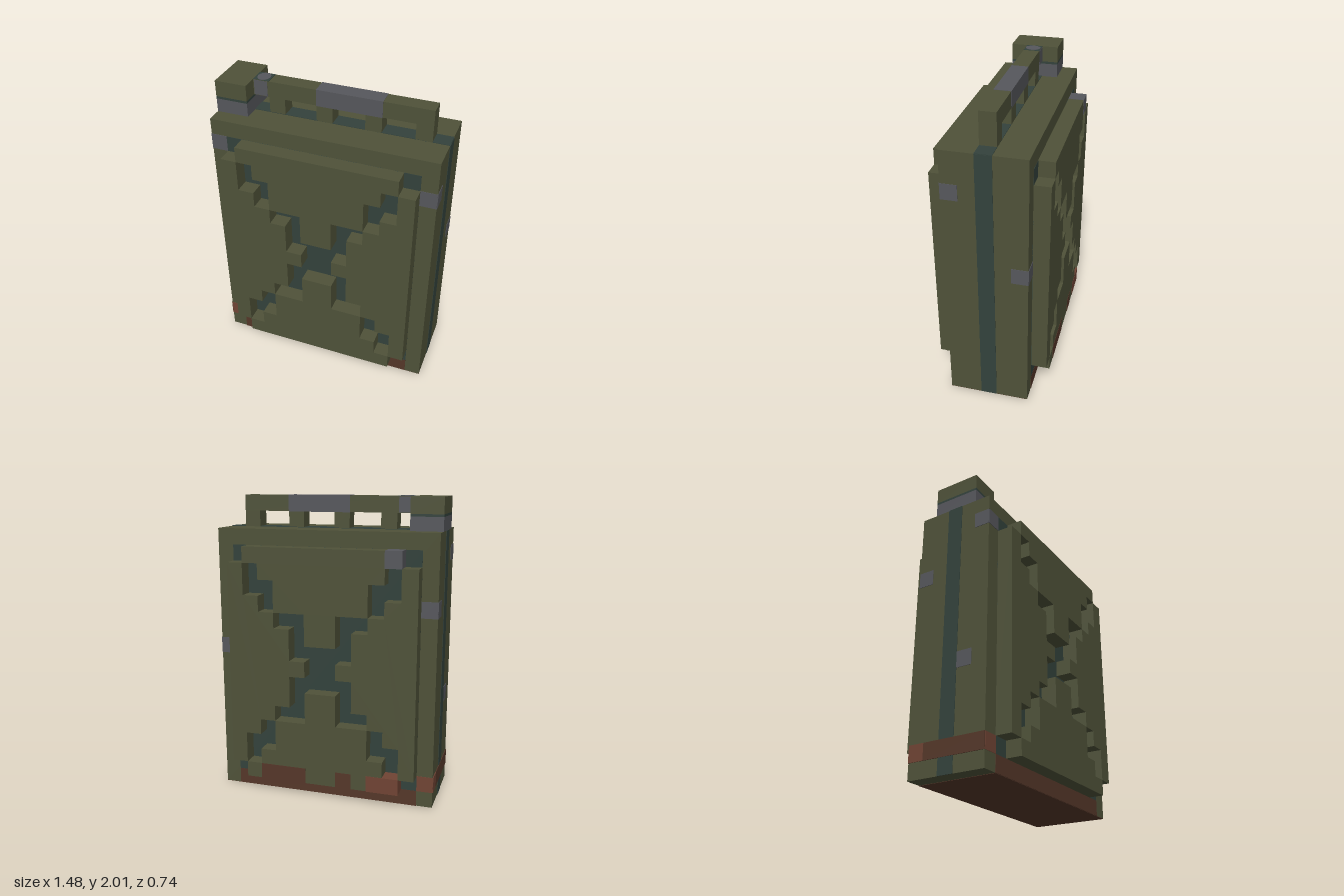
import * as THREE from 'three';

const U = 2 / 19; // one block of the model's grid

export function createModel() {
  const model = new THREE.Group();
  model.name = 'fuelCan';

  const paint = (name, color) => {
    const m = new THREE.MeshStandardMaterial({ color });
    m.name = name;
    return m;
  };
  const olive = paint('olive', 0x4f5239);
  const teal = paint('darkTeal', 0x33423c);
  const steel = paint('wornSteel', 0x56575c);
  const rust = paint('rust', 0x553729);
  const brightRust = paint('brightRust', 0x704434);

  // Box between grid corners, optionally grown by a small skin so it sits proud as paint
  const block = (name, mat, [x0, x1], [y0, y1], [z0, z1], skin = 0) => {
    const s = 2 * skin;
    const geo = new THREE.BoxGeometry((x1 - x0) * U + s, (y1 - y0) * U + s, (z1 - z0) * U + s);
    const mesh = new THREE.Mesh(geo, mat);
    mesh.name = name;
    mesh.position.set((x0 + x1) / 2 * U, (y0 + y1) / 2 * U, (z0 + z1) / 2 * U);
    model.add(mesh);
    return mesh;
  };
  // Thin painted patches on the body's faces; h is the height above the face
  const onZ = (name, mat, side, x, y, h = 0.003) => {
    const m = block(name, mat, x, y, [0, h / U]);
    m.position.z = side * (2.5 * U + h / 2);
  };
  const onX = (name, mat, side, z, y, h = 0.003) => {
    const m = block(name, mat, [0, h / U], y, z);
    m.position.x = side * (7 * U + h / 2);
  };

  // Body
  block('body', olive, [-7, 7], [0, 17], [-2.5, 2.5]);

  // Stepped panels around a cross-shaped recess
  const topHalf = [[5, 16], [5, 15], [4, 15], [4, 14], [3, 14], [3, 12], [1, 12], [1, 10]];
  const sideHalf = [[6, 15], [5, 15], [5, 13], [4, 13], [4, 12], [3, 12], [3, 11], [2, 11], [2, 9], [1, 9]];
  const flipX = ([x, y]) => [-x, y];
  const flipY = ([x, y]) => [x, 17 - y];
  const top = [...topHalf, ...topHalf.map(flipX).reverse()];
  const side = [...sideHalf, ...sideHalf.map(flipY).reverse()];
  const panels = { upperPanel: top, lowerPanel: top.map(flipY), leftPanel: side, rightPanel: side.map(flipX) };
  for (const face of [1, -1]) {
    const where = face > 0 ? 'front' : 'back';
    for (const [name, pts] of Object.entries(panels)) {
      const shape = new THREE.Shape(pts.map(([x, y]) => new THREE.Vector2(x * U, y * U)));
      const geo = new THREE.ExtrudeGeometry(shape, { depth: U, bevelEnabled: false });
      const mesh = new THREE.Mesh(geo, olive);
      mesh.name = where + name[0].toUpperCase() + name.slice(1);
      mesh.position.z = face > 0 ? 2.5 * U : -3.5 * U;
      model.add(mesh);
    }
    onZ(where + 'RecessFloor', teal, face, [-6, 6], [1, 16], 0.002);
    onZ(where + 'RustStrip', rust, face, [-6, 6], [0, 1]);
    onZ(where + 'RustCorner', brightRust, face, [-7, -6], [1, 2]);
  }

  // Seams running over the sides and top
  onX('leftSeam', teal, 1, [-0.5, 0.5], [0, 17]);
  onX('rightSeam', teal, -1, [-0.5, 0.5], [0, 17]);
  block('topSeam', teal, [-5, 7], [17, 17.03], [-0.5, 0.5]);

  // Rust on the base, the right side and the back panel
  block('baseRust', rust, [-6, 7], [-0.02, 0], [-2.5, 2.5]);
  onX('sideRustBand', rust, -1, [-1.5, 2.5], [1, 2], 0.005);
  onX('sideRustCorner', brightRust, -1, [-2.5, -1.5], [1, 2], 0.005);
  block('panelRustCorner', brightRust, [-5, -3], [1, 2], [-3.5, -2.5], 0.002);
  block('panelRustSpot', rust, [-2, -1], [1, 2], [-3.52, -3.48]);
  block('panelRustPatch', rust, [1, 4], [1, 2], [-3.52, -3.48]);

  // Chipped steel marks
  onZ('frontChipRight', steel, 1, [-7, -6], [15, 16]);
  onZ('frontChipLeft', steel, 1, [6, 7], [14, 15]);
  onZ('backChipRight', steel, -1, [-7, -6], [12, 13]);
  onZ('backChipLeft', steel, -1, [6, 7], [9, 10]);
  onX('leftChipUpper', steel, 1, [1.5, 2.5], [14, 15]);
  onX('leftChipLower', steel, 1, [-2.5, -1.5], [9, 10]);
  onX('rightChipUpper', steel, -1, [1.5, 2.5], [15, 16]);
  onX('rightChipMiddle', steel, -1, [-2.5, -1.5], [12, 13]);
  onX('rightChipLower', steel, -1, [0.5, 1.5], [6, 7]);
  block('panelChip', steel, [-5, -4], [15, 16], [-3.5, -2.5], 0.002);

  // Filler cap
  block('capNeck', steel, [-7, -5], [17, 17.85], [-1.5, 1.5]);
  block('capGap', teal, [-7, -5], [17.85, 18], [-1.5, 1.5]);
  block('cap', olive, [-7, -5], [18, 19], [-1.5, 1.5]);

  // Carrying handle with four posts
  block('handleBar', olive, [-5, 6], [18, 19], [-0.5, 0.5]);
  for (const x of [-4, -1, 2, 5]) block('handlePost', olive, [x, x + 1], [17, 18], [-0.5, 0.5]);
  block('handleWear', steel, [-1, 3], [18, 19], [-0.5, 0.5], 0.002);

  // Worn latch between handle and cap
  block('latchSides', steel, [-4.95, -4.1], [18.03, 18.97], [-0.52, 0.52]);
  block('latchTop', teal, [-5, -4], [18.98, 19.01], [-0.5, 0.5]);
  const stud = new THREE.Mesh(new THREE.CylinderGeometry(0.4 * U, 0.4 * U, 0.004, 20), steel);
  stud.name = 'latchStud';
  stud.scale.z = 1.2;
  stud.position.set(-4.5 * U, 2.001, 0);
  model.add(stud);

  return model;
}
